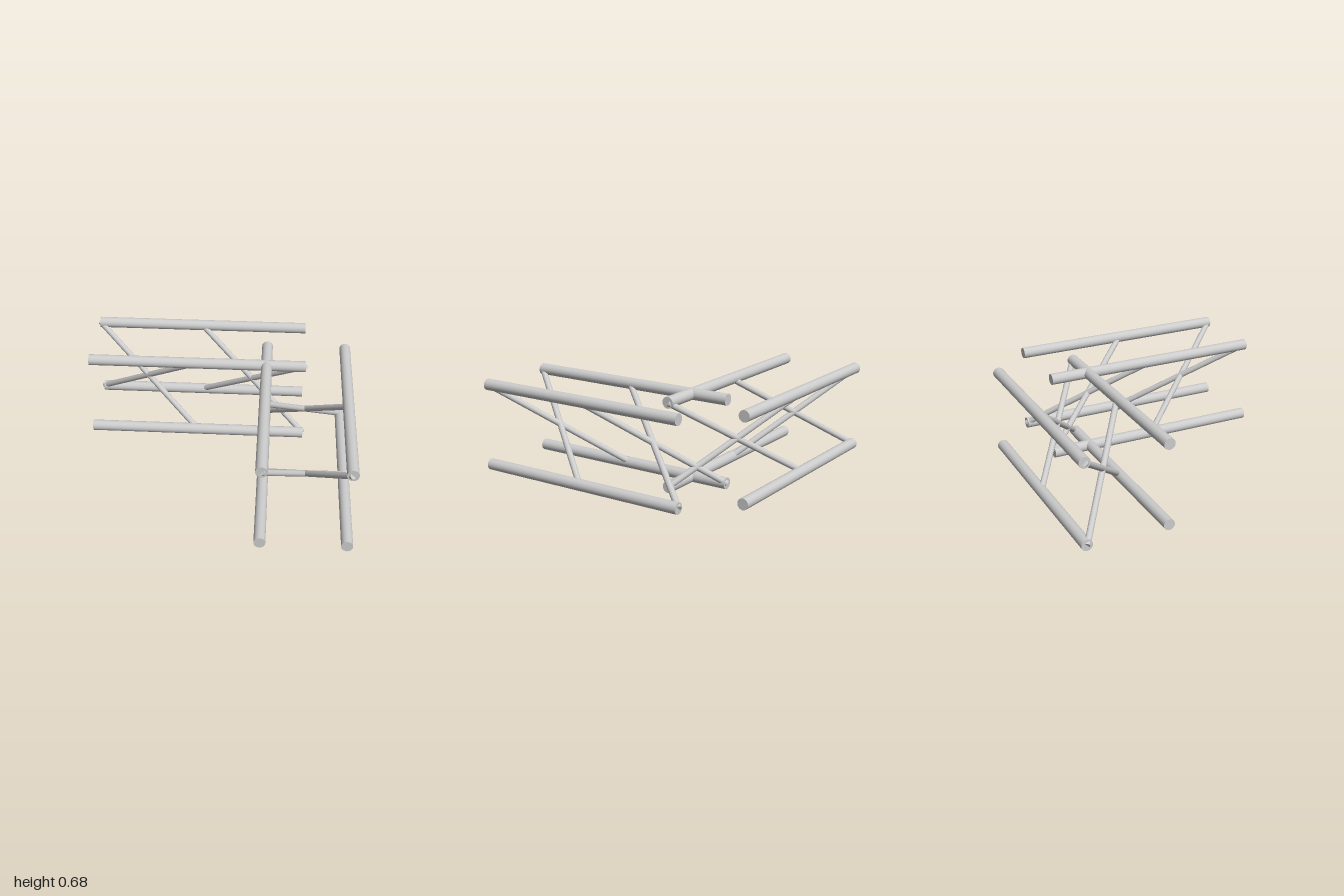
import * as THREE from 'three';

const material = new THREE.MeshStandardMaterial({ color: 0xcccccc });
const UP = new THREE.Vector3(0, 1, 0);

// Solid round bar between two points
function bar(name, a, b, radius) {
  const dir = b.clone().sub(a);
  const mesh = new THREE.Mesh(new THREE.CylinderGeometry(radius, radius, dir.length(), 32), material);
  mesh.name = name;
  mesh.position.copy(a).add(b).multiplyScalar(0.5);
  mesh.quaternion.setFromUnitVectors(UP, dir.normalize());
  return mesh;
}

// Four-chord truss with two bays of crossing space diagonals.
// point(t, s, y) maps distance along, position across and height to space.
function truss(name, point, start, end, near, far) {
  const group = new THREE.Group();
  group.name = name;
  const low = 0.041, high = 0.637;
  const mid = (start + end) / 2;

  // Chords
  for (const s of [near, far])
    for (const y of [low, high])
      group.add(bar('chord', point(start, s, y), point(end, s, y), 0.041));

  // Diagonals, each pair crossing in the middle of its bay
  const pairs = name === 'sideTruss'
    ? [[near, high, far, low], [far, high, near, low]]
    : [[far, high, near, low], [far, low, near, high]];
  for (const [t0, t1] of [[start, mid], [mid, end]])
    for (const [s0, y0, s1, y1] of pairs)
      group.add(bar('diagonal', point(t0, s0, y0), point(t1, s1, y1), 0.022));
  return group;
}

export function createModel() {
  const model = new THREE.Group();
  model.name = 'crossedTrusses';
  // Truss running along x at the back
  model.add(truss('backTruss', (t, s, y) => new THREE.Vector3(t, y, s), -0.983, 0.657, -0.365, -0.959));
  // Truss running along z on the left side
  model.add(truss('sideTruss', (t, s, y) => new THREE.Vector3(s, y, t), 0.983, -0.657, 0.363, 0.957));
  return model;
}
